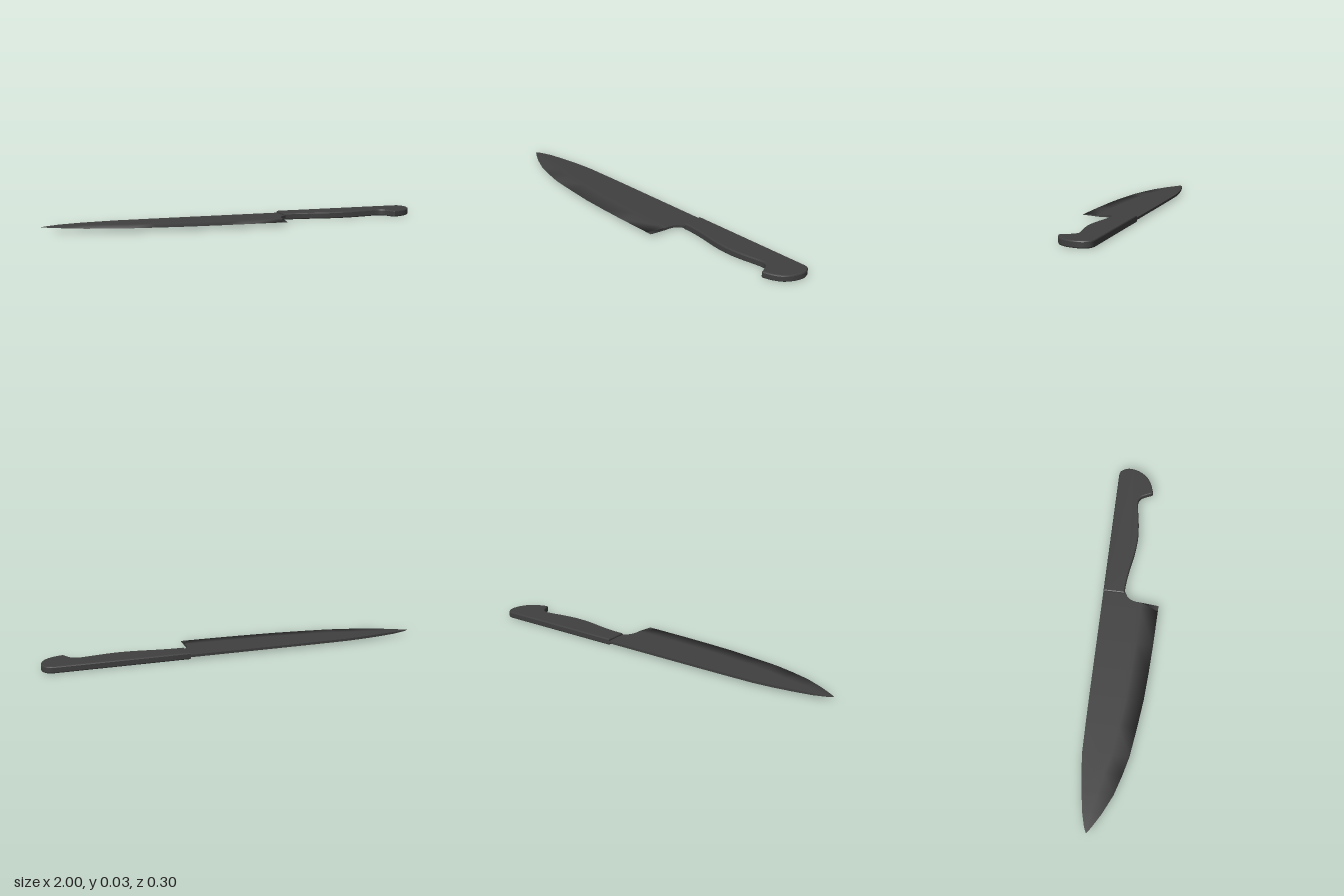
import * as THREE from 'three';
import { mergeGeometries, toCreasedNormals } from 'three/addons/utils/BufferGeometryUtils.js';

const MID = 0.017; // height of the blade's centre plane
const lerp = THREE.MathUtils.lerp;

// Smooth sheet from columns of points; normal = (direction in column) x (direction across columns)
function sheet(cols) {
  const n = cols[0].length, index = [];
  for (let i = 0; i < cols.length - 1; i++) {
    for (let j = 0; j < n - 1; j++) {
      const a = i * n + j, b = a + 1, c = a + n, d = c + 1;
      index.push(a, b, c, b, d, c);
    }
  }
  const g = new THREE.BufferGeometry();
  g.setAttribute('position', new THREE.Float32BufferAttribute(cols.flat(2), 3));
  g.setIndex(index);
  g.computeVertexNormals();
  return g;
}

function bladeGeometry() {
  // Stations along the blade: x, spine z, cutting edge z
  const stations = [
    [-1, -0.077, -0.075], [-0.97, -0.09, -0.054], [-0.9, -0.108, -0.013],
    [-0.8, -0.124, 0.034], [-0.7, -0.138, 0.064], [-0.6, -0.147, 0.089],
    [-0.45, -0.149, 0.109], [-0.3, -0.15, 0.126], [-0.15, -0.15, 0.135],
    [0, -0.15, 0.141], [0.19, -0.15, 0.145], [null, -0.15, 0.146],
  ];
  // Rows of the flat, as fractions from spine to grind line, and x of the heel at each row
  const rows = [0, 0.56, 0.62, 0.69, 0.77, 0.87, 1];
  const heelX = [0.285, 0.275, 0.252, 0.239, 0.232, 0.228, 0.226];

  const halves = stations.map(([x, spine, edge]) => {
    const width = edge - spine;
    const grind = edge - Math.min(0.09, width * 0.5);
    const half = 0.006 * Math.min(1, width / 0.12);
    const points = rows.map((f, k) => [x ?? heelX[k], half, lerp(spine, grind, f)]);
    points.push([x ?? 0.22, 0, edge]);
    return points;
  });
  const at = ([x, h, z], side) => [x, MID + side * h, z];

  // Both faces meet in one smooth cutting edge
  const faces = halves.map((h) => [
    ...h.map((p) => at(p, 1)),
    ...h.slice(0, -1).reverse().map((p) => at(p, -1)),
  ]);
  const spine = halves.map((h) => [at(h[0], -1), at(h[0], 1)]);
  const heel = halves.at(-1).map((p) => [at(p, -1), at(p, 1)]);
  return mergeGeometries([sheet(faces), sheet(spine), sheet(heel)]);
}

function handleGeometry() {
  const v = (x, z) => new THREE.Vector2(x, z);
  const shape = new THREE.Shape();
  shape.moveTo(0.267, -0.15);
  shape.lineTo(0.955, -0.15);
  // Rounded butt
  shape.splineThru([v(0.98, -0.142), v(0.996, -0.115), v(1, -0.085), v(0.988, -0.04),
    v(0.96, 0.002), v(0.92, 0.028), v(0.87, 0.045)]);
  // Hooked pommel and finger grip
  shape.lineTo(0.862, 0.043);
  shape.splineThru([v(0.848, 0.01), v(0.832, -0.016), v(0.805, -0.028), v(0.76, -0.024),
    v(0.67, -0.01), v(0.59, -0.005), v(0.5, -0.012), v(0.4, -0.029), v(0.32, -0.038),
    v(0.267, -0.039)]);
  shape.closePath();

  const bevel = 0.006, thick = 0.034;
  const g = new THREE.ExtrudeGeometry(shape, {
    depth: thick - 2 * bevel, curveSegments: 4, bevelEnabled: true,
    bevelThickness: bevel, bevelSize: bevel, bevelOffset: -bevel, bevelSegments: 2,
  });
  g.rotateX(Math.PI / 2);
  g.translate(0, thick - bevel, 0);
  return toCreasedNormals(g, 0.38);
}

export function createModel() {
  const group = new THREE.Group();
  group.name = 'kitchenKnife';
  const parts = { blade: bladeGeometry(), handle: handleGeometry() };
  for (const [name, geometry] of Object.entries(parts)) {
    const mesh = new THREE.Mesh(geometry, new THREE.MeshStandardMaterial({ color: 0x404040 }));
    mesh.name = name;
    group.add(mesh);
  }
  return group;
}
